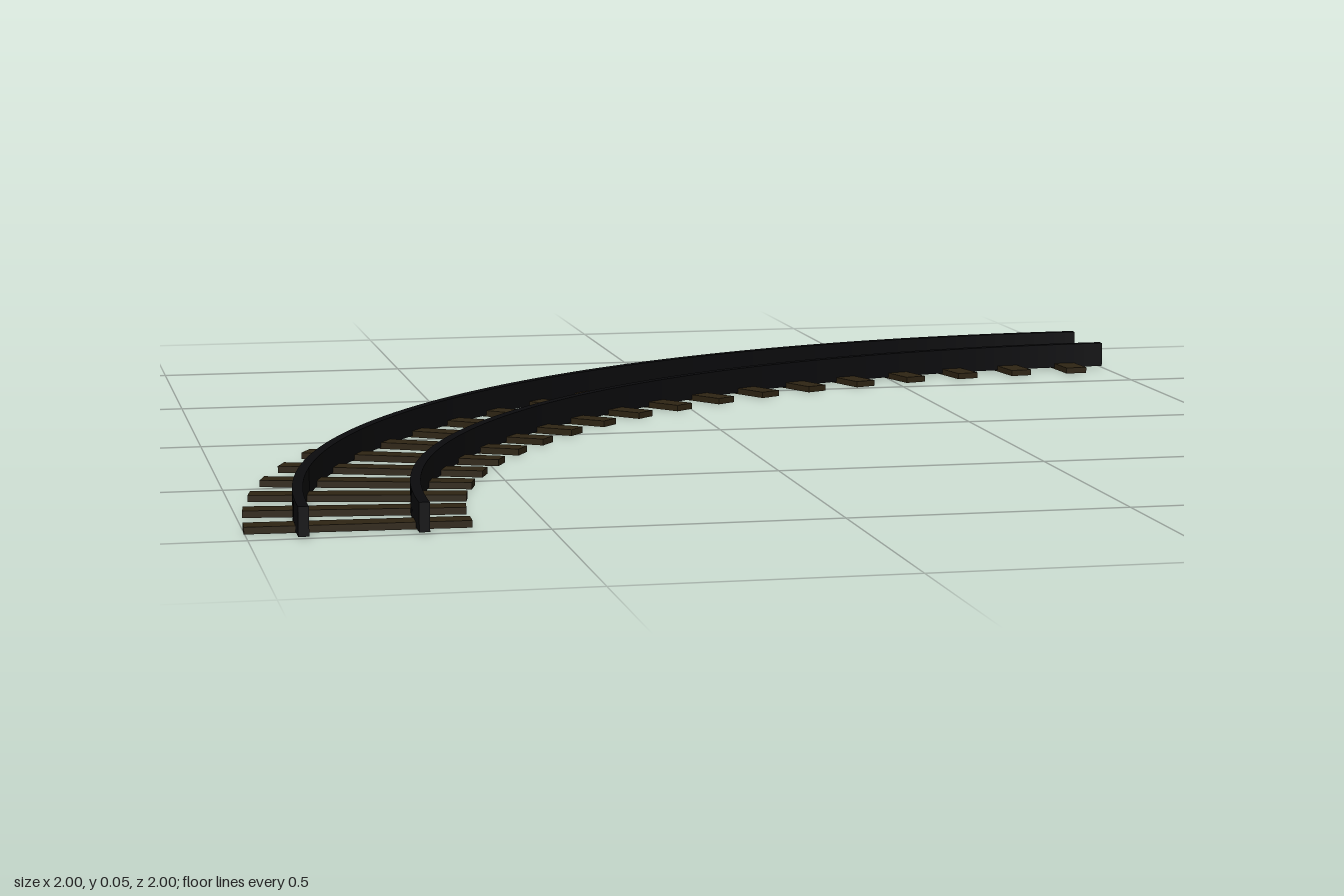
import * as THREE from 'three';

const rad = THREE.MathUtils.degToRad;

// Quarter-circle track curving around the corner point (x = 1, z = 1)
const CENTRE = 1;
const TRACK_RADIUS = 1.814;
const SLEEPER_COUNT = 20;

// Rectangular bar swept through a quarter circle, lying flat
function railGeometry(radius, width, bottom, top) {
  const shape = new THREE.Shape();
  shape.absarc(CENTRE, -CENTRE, radius + width / 2, Math.PI / 2, Math.PI, false);
  shape.absarc(CENTRE, -CENTRE, radius - width / 2, Math.PI, Math.PI / 2, true);
  shape.closePath();
  const geometry = new THREE.ExtrudeGeometry(shape, {
    depth: top - bottom, bevelEnabled: false, curveSegments: 64,
  });
  geometry.rotateX(-Math.PI / 2);
  geometry.translate(0, bottom, 0);
  return geometry;
}

export function createModel() {
  const model = new THREE.Group();
  model.name = 'curvedTrack';

  const steel = new THREE.MeshStandardMaterial({ color: 0x0b0b0d });
  steel.name = 'dark steel';
  const wood = new THREE.MeshStandardMaterial({ color: 0x2e2413 });
  wood.name = 'dark wood';

  // Two concentric rails
  for (const [name, radius] of [['outerRail', 1.909], ['innerRail', 1.711]]) {
    const rail = new THREE.Mesh(railGeometry(radius, 0.018, 0.003, 0.053), steel);
    rail.name = name;
    model.add(rail);
  }

  // Thin sleepers pointing at the centre of the curve
  const sleepers = new THREE.Group();
  sleepers.name = 'sleepers';
  const plank = new THREE.BoxGeometry(0.376, 0.012, 0.045);
  for (let i = 0; i < SLEEPER_COUNT; i++) {
    const angle = rad(2.3 + (84.8 * i) / (SLEEPER_COUNT - 1));
    const sleeper = new THREE.Mesh(plank, wood);
    sleeper.name = 'sleeper';
    sleeper.position.set(
      CENTRE - TRACK_RADIUS * Math.cos(angle), 0.006,
      CENTRE - TRACK_RADIUS * Math.sin(angle));
    sleeper.rotation.y = -angle;
    sleepers.add(sleeper);
  }
  model.add(sleepers);

  return model;
}
